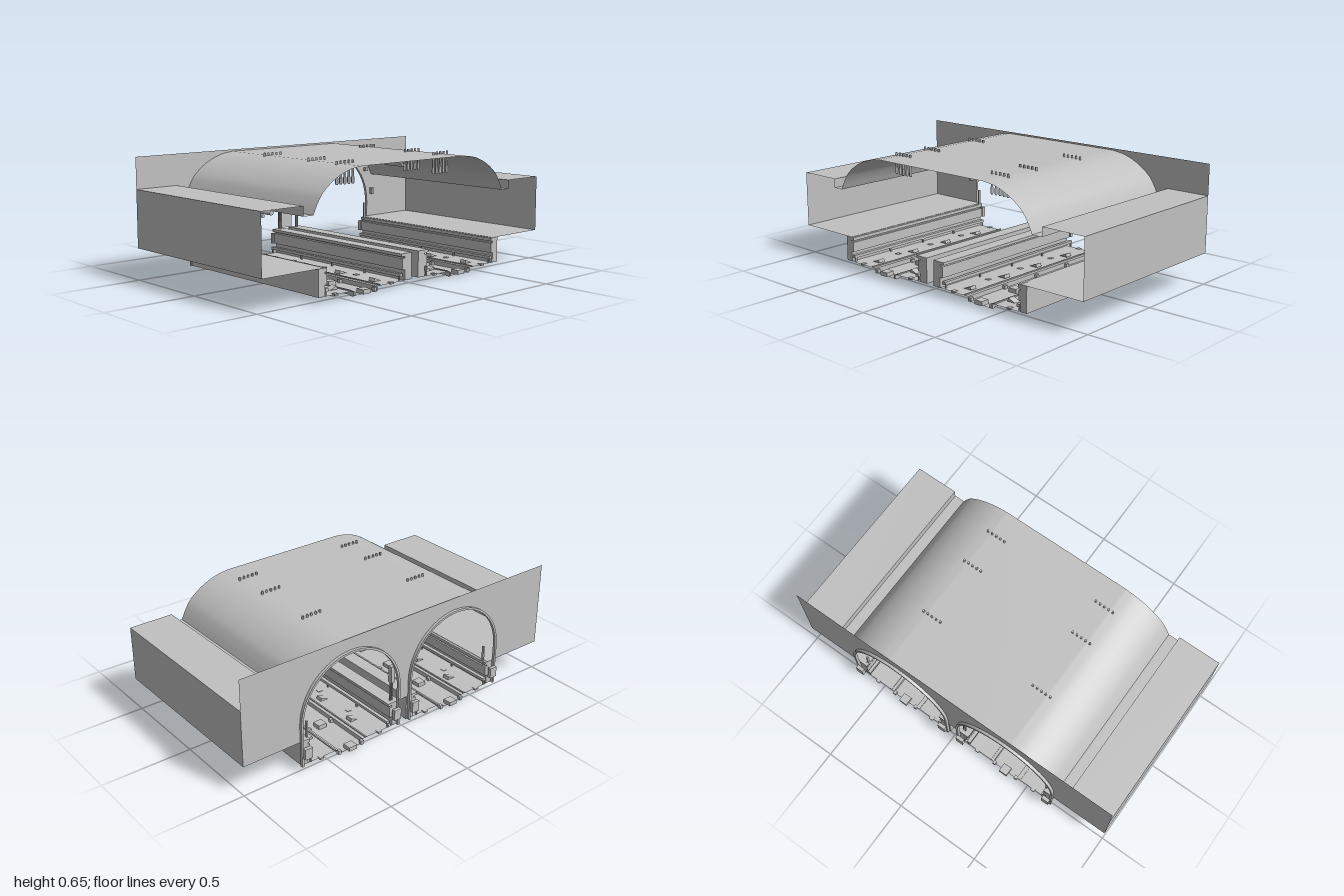
import * as THREE from 'three';

const Z0 = -0.505, Z1 = 0.54, LEN = Z1 - Z0, ZC = (Z0 + Z1) / 2;
const CX = 0.35, CY = 0.265, R = 0.305; // tunnel arch centre and radius

export function createModel() {
  const group = new THREE.Group();
  const concrete = new THREE.MeshStandardMaterial({ color: 0xc0c0c0, side: THREE.DoubleSide });
  concrete.name = 'grey concrete';

  const add = (name, geo, x = 0, y = 0, z = 0) => {
    const m = new THREE.Mesh(geo, concrete);
    m.name = name;
    m.position.set(x, y, z);
    group.add(m);
    return m;
  };
  // box given by its limits in x and y, plus centre and length in z
  const block = (name, x0, x1, y0, y1, z = ZC, d = LEN) =>
    add(name, new THREE.BoxGeometry(Math.abs(x1 - x0), y1 - y0, d), (x0 + x1) / 2, (y0 + y1) / 2, z);

  // thin open sheet: a profile swept along z, crisp or smooth
  const sheet = (name, pts, smooth = false) => {
    const pos = [], idx = [];
    pts.forEach(([x, y]) => pos.push(x, y, Z0, x, y, Z1));
    for (let i = 0; i < pts.length - 1; i++) {
      const a = i * 2;
      idx.push(a, a + 1, a + 2, a + 2, a + 1, a + 3);
    }
    let g = new THREE.BufferGeometry();
    g.setAttribute('position', new THREE.Float32BufferAttribute(pos, 3));
    g.setIndex(idx);
    if (!smooth) g = g.toNonIndexed();
    g.computeVertexNormals();
    return add(name, g);
  };

  // vaulted roof
  const half = new THREE.CatmullRomCurve3(
    [[0.69, 0.43], [0.665, 0.48], [0.63, 0.53], [0.55, 0.59], [0.46, 0.627], [0.38, 0.64]]
      .map(([x, y]) => new THREE.Vector3(x, y, 0))
  ).getPoints(24).map(p => [p.x, p.y]);
  sheet('vaultRoof', [...half, ...half.slice().reverse().map(([x, y]) => [-x, y])], true);

  // arch outline of one tunnel, from outer foot over the top to inner foot
  const archPoints = (cx, r, foot) => {
    const pts = [new THREE.Vector2(cx + r, foot)];
    for (let i = 0; i <= 32; i++) {
      const a = Math.PI * i / 32;
      pts.push(new THREE.Vector2(cx + r * Math.cos(a), CY + r * Math.sin(a)));
    }
    pts.push(new THREE.Vector2(cx - r, foot));
    return pts;
  };

  // end wall with two arched openings
  const wall = new THREE.Shape([
    new THREE.Vector2(-1, 0.17), ...archPoints(-CX, R, 0.17).reverse(),
    ...archPoints(CX, R, 0.17).reverse(),
    new THREE.Vector2(1, 0.17), new THREE.Vector2(1, 0.65), new THREE.Vector2(-1, 0.65)
  ]);
  add('endWall', new THREE.ShapeGeometry(wall), 0, 0, Z0);

  for (const s of [-1, 1]) {
    // side gallery, open at the front: floor, outer wall, deck and gutter
    sheet('sideGallery', [[0.655, 0.17], [1, 0.17], [1, 0.48], [0.75, 0.48], [0.75, 0.43], [0.69, 0.43]]
      .map(([x, y]) => [s * x, y]));
    // pipes hung under the gallery deck
    for (const [x, y, r] of [[0.78, 0.428, 0.012], [0.83, 0.418, 0.008]]) {
      const pipe = add('galleryPipe', new THREE.CylinderGeometry(r, r, 0.08, 10), s * x, y, 0.3);
      pipe.rotation.x = Math.PI / 2;
    }
    block('pipeHanger', s * 0.777, s * 0.783, 0.44, 0.48, 0.3, 0.02);

    // portal frame behind the wall
    const ring = new THREE.Shape([...archPoints(s * CX, R + 0.012, 0.03), ...archPoints(s * CX, R, 0.03).reverse()]);
    add('portalFrame', new THREE.ExtrudeGeometry(ring, { depth: 0.016, bevelEnabled: false }), 0, 0, -0.521);
    for (const [a, b] of [[0.04, 0.085], [0.615, 0.66]])
      block('portalFootBlock', s * a, s * b, 0.08, 0.14, -0.53, 0.02);

    // floor with a shallow centre channel
    sheet('tunnelFloor', [[0.66, 0.03], [0.43, 0.028], [0.43, 0.004], [0.27, 0.004], [0.27, 0.028], [0.025, 0.03]]
      .map(([x, y]) => [s * x, y]));

    // kerbs, ledges and service ducts along both tunnel sides
    block('outerKerb', s * 0.62, s * 0.66, 0.03, 0.17);
    block('outerLedge', s * 0.605, s * 0.62, 0.15, 0.168);
    block('outerDuct', s * 0.607, s * 0.62, 0.085, 0.14);
    block('outerRail', s * 0.595, s * 0.615, 0.052, 0.068);
    block('innerKerb', s * 0.025, s * 0.073, 0.03, 0.17);
    block('innerLedge', s * 0.073, s * 0.1, 0.155, 0.17);
    block('innerDuct', s * 0.073, s * 0.09, 0.085, 0.145);
    block('innerRail', s * 0.09, s * 0.11, 0.052, 0.068);
    for (let i = 0; i < 5; i++) {
      const z = 0.525 - i * 0.257;
      block('outerRailPost', s * 0.6, s * 0.606, 0.03, 0.055, z, 0.01);
      block('innerRailPost', s * 0.097, s * 0.103, 0.03, 0.055, z, 0.01);
      // sockets under the floor and plates in the channel
      for (const x of [0.16, 0.54]) block('floorSocket', s * (x - 0.012), s * (x + 0.012), 0.022, 0.032, z, 0.025);
      block('channelPlate', s * 0.325, s * 0.375, 0.004, 0.027, z, 0.05);
      for (const x of [0.277, 0.423]) block('channelFoot', s * (x - 0.009), s * (x + 0.009), 0, 0.022, z, 0.02);
    }
    // wedge lights on the floor
    for (const [x, d] of [[0.2, 1], [0.5, -1]]) {
      const wedge = new THREE.Shape([[-0.025, 0], [0.025, 0], [0.02 * d, 0.018]].map(p => new THREE.Vector2(s * p[0], p[1])));
      for (const z of [-0.35, -0.09, 0.17, 0.43])
        add('wedgeLight', new THREE.ExtrudeGeometry(wedge, { depth: 0.04, bevelEnabled: false }), s * x, 0.033, z);
    }
    // longitudinal slab joints either side of the channel
    for (const x of [0.25, 0.45]) block('slabEdge', s * (x - 0.004), s * (x + 0.004), 0.03, 0.036);

    // rows of hangers through the roof
    for (const z of [0.387, 0.173, -0.185])
      for (let i = 0; i < 5; i++) {
        const x = s * (0.296 + i * 0.027);
        add('roofHanger', new THREE.CylinderGeometry(0.006, 0.006, 0.12, 8), x, 0.595, z);
        add('hangerSleeve', new THREE.CylinderGeometry(0.008, 0.008, 0.03, 8), x, 0.555, z);
      }

    // lamp on the vault, small wall boxes
    const lamp = add('vaultLamp', new THREE.BoxGeometry(0.03, 0.012, 0.155), s * 0.625, 0.522, -0.245);
    lamp.rotation.z = -s * 0.95;
    block('wallBox', s * 0.095, s * 0.11, 0.55, 0.58, -0.495, 0.02);
    block('wallBox', s * 0.68, s * 0.7, 0.307, 0.345, -0.495, 0.02);
    block('wallBox', s * 0.625, s * 0.645, 0.455, 0.475, -0.495, 0.02);
    block('wallBox', s * 0.865, s * 0.885, 0.455, 0.47, -0.495, 0.02);

    // marker post on the outer side, signal on the inner side
    block('markerPost', s * 0.603, s * 0.613, 0.15, 0.26, -0.48, 0.012);
    block('signalPost', s * 0.053, s * 0.058, 0.17, 0.29, -0.48, 0.008);
    block('signalPost', s * 0.065, s * 0.07, 0.17, 0.29, -0.48, 0.008);
    block('signalHead', s * 0.05, s * 0.072, 0.28, 0.375, -0.48, 0.025);
    for (let i = 0; i < 3; i++) {
      const lens = add('signalLens', new THREE.CylinderGeometry(0.008, 0.008, 0.008, 12), s * 0.061, 0.3 + i * 0.027, -0.465);
      lens.rotation.x = Math.PI / 2;
    }
  }
  return group;
}
